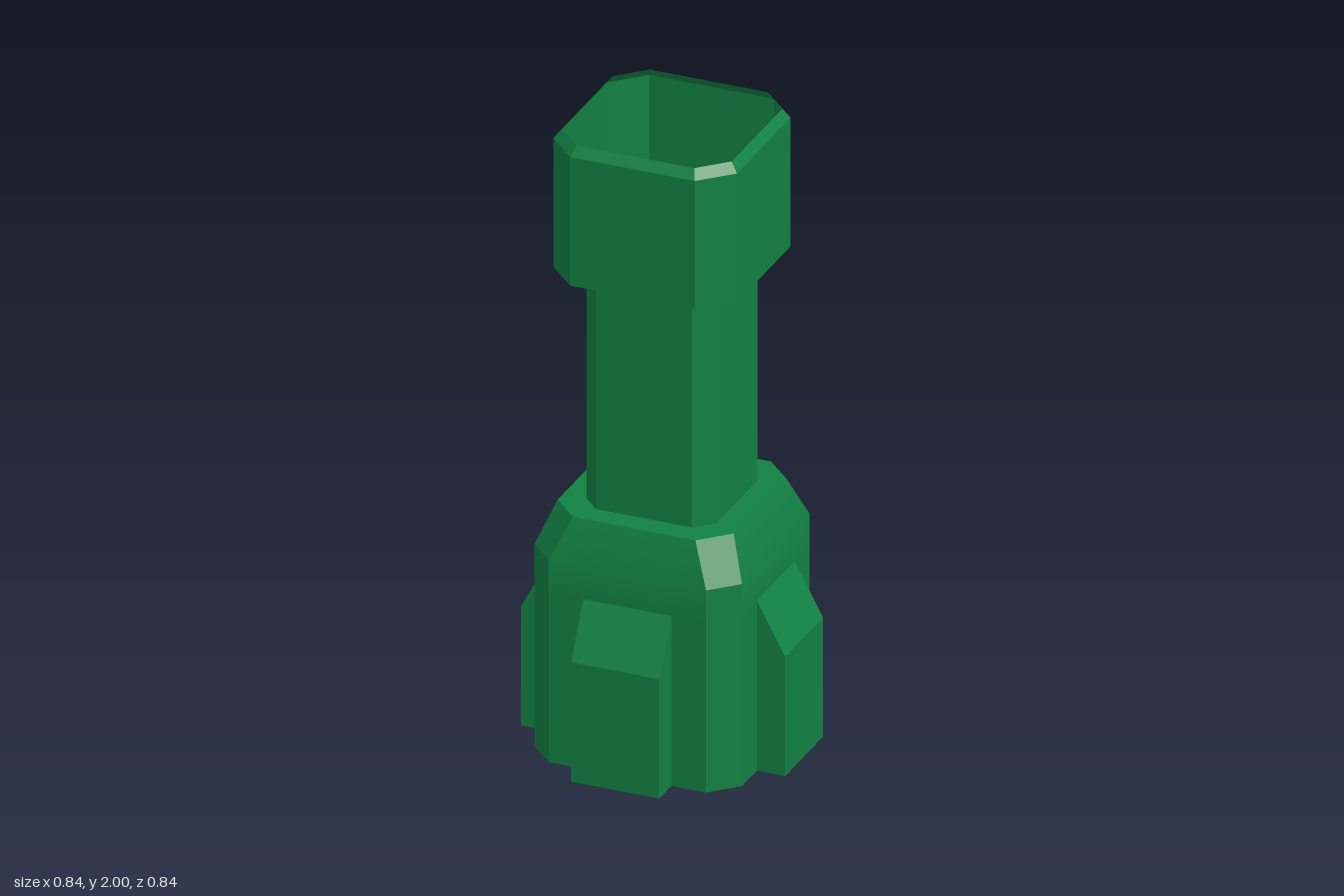
import * as THREE from 'three';
import { toCreasedNormals } from 'three/addons/utils/BufferGeometryUtils.js';

const FIN = 0.14; // half width of a fin

// Chamfered-square ring; each side can bulge outward by `fin` in its middle.
function ring([y, half, flat, fin = 0]) {
  const side = [
    [-flat, half], [-FIN, half], [-FIN, half + fin],
    [FIN, half + fin], [FIN, half], [flat, half],
  ];
  const points = [];
  for (let k = 0; k < 4; k++) {
    for (const [x, z] of side) {
      let p = [x, z];
      for (let i = 0; i < k; i++) p = [p[1], -p[0]]; // quarter turns about y
      points.push(new THREE.Vector3(p[0], y, p[1]));
    }
  }
  return points;
}

// Open shell through a stack of rings, given bottom to top.
function loft(sections) {
  const rings = sections.map(ring);
  const positions = [];
  const addTriangle = (a, b, c) => {
    const area = b.clone().sub(a).cross(c.clone().sub(a)).length();
    if (area > 1e-7) for (const p of [a, b, c]) positions.push(p.x, p.y, p.z);
  };
  for (let j = 0; j < rings.length - 1; j++) {
    const low = rings[j], high = rings[j + 1];
    for (let i = 0; i < low.length; i++) {
      const n = (i + 1) % low.length;
      addTriangle(low[i], low[n], high[n]);
      addTriangle(low[i], high[n], high[i]);
    }
  }
  const geometry = new THREE.BufferGeometry();
  geometry.setAttribute('position', new THREE.Float32BufferAttribute(positions, 3));
  return toCreasedNormals(geometry, 0.42);
}

export function createModel() {
  const group = new THREE.Group();
  const green = new THREE.MeshStandardMaterial({ color: 0x128143, side: THREE.DoubleSide });

  // Sections: height, half width, half length of the flat side, fin depth
  const parts = {
    // Wide hollow foot with four fins, closing in to the shaft
    finnedBase: [
      [0, 0.33, 0.25, 0.09],
      [0.39, 0.33, 0.25, 0.09],
      [0.555, 0.33, 0.25],
      [0.66, 0.33, 0.25],
      [0.79, 0.28, 0.195],
      [0.79, 0.207, 0.152],
    ],
    // Slim tube
    shaft: [
      [0.79, 0.207, 0.152],
      [1.505, 0.207, 0.152],
    ],
    // Open socket with a bevelled rim
    head: [
      [1.505, 0.207, 0.152],
      [1.55, 0.292, 0.198],
      [1.97, 0.292, 0.198],
      [2.0, 0.27, 0.187],
    ],
  };

  for (const [name, sections] of Object.entries(parts)) {
    const mesh = new THREE.Mesh(loft(sections), green);
    mesh.name = name;
    group.add(mesh);
  }
  return group;
}
